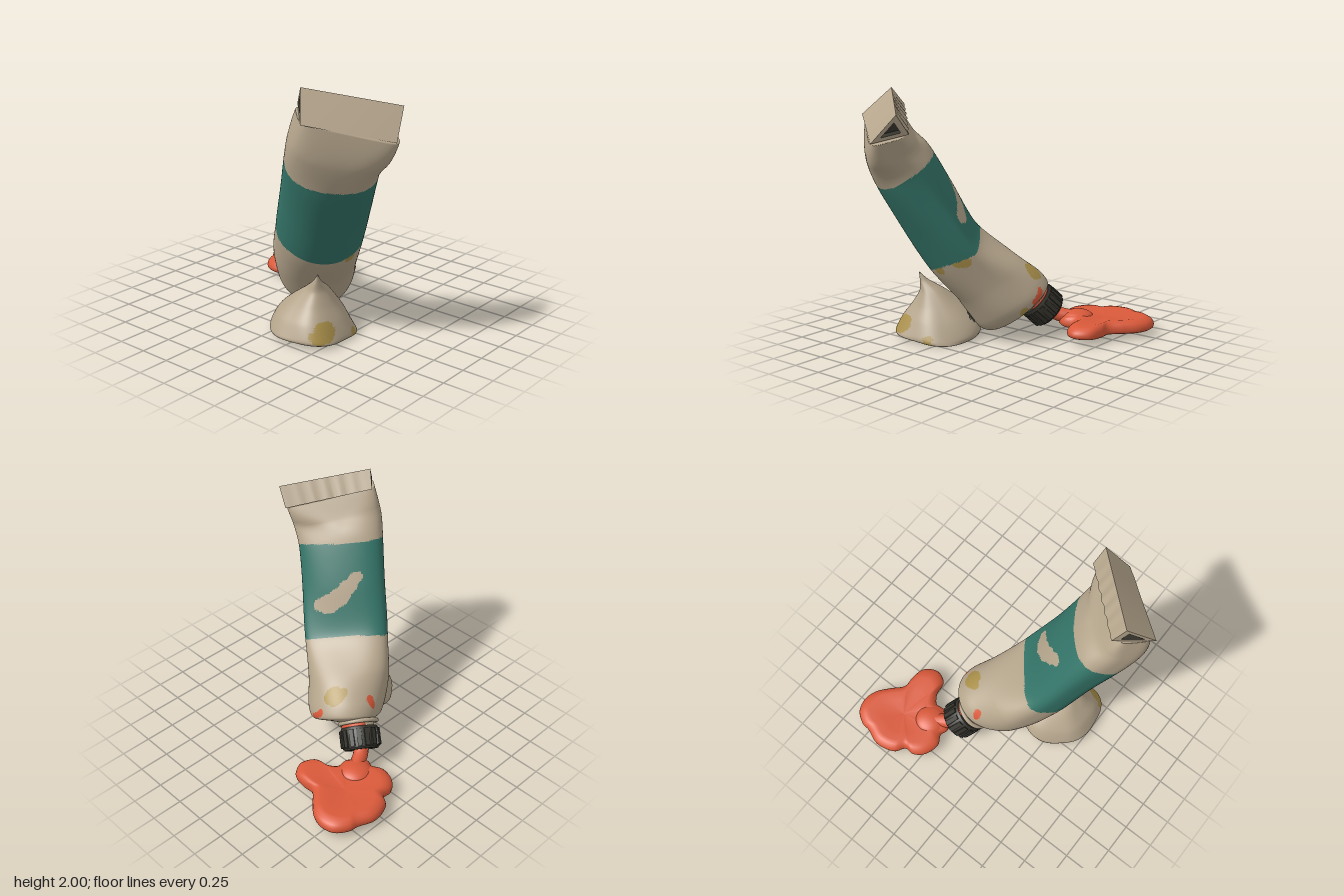
import * as THREE from 'three';
import { toCreasedNormals } from 'three/addons/utils/BufferGeometryUtils.js';

const V = (x, y, z) => new THREE.Vector3(x, y, z);
const step = THREE.MathUtils.smoothstep;
const mat = (name, color) => {
  const m = new THREE.MeshStandardMaterial({ color });
  m.name = name;
  return m;
};

// Closed cross-sections joined in order; paint(point, row) picks a material index per triangle
function loft(rings, paint = () => 0) {
  const n = rings[0].length, buckets = [], flat = rings.flat();
  const add = (i, a, b, c) => {
    const mid = V(0, 0, 0).add(flat[a]).add(flat[b]).add(flat[c]).divideScalar(3);
    (buckets[paint(mid, i)] ??= []).push(a, b, c);
  };
  for (let i = 0; i < rings.length - 1; i++) for (let j = 0; j < n; j++) {
    const k = (j + 1) % n, a = i * n + j, b = i * n + k, c = b + n, d = a + n;
    add(i, a, b, c);
    add(i, a, c, d);
  }
  const g = new THREE.BufferGeometry(), index = [];
  buckets.forEach((list, m) => {
    g.addGroup(index.length, list.length, m);
    for (const v of list) index.push(v);
  });
  g.setAttribute('position', new THREE.Float32BufferAttribute(flat.flatMap(p => [p.x, p.y, p.z]), 3));
  g.setIndex(index);
  g.computeVertexNormals();
  return g;
}

// True when (u, v) lies in one of the circles [u, v, radius]
const inSpots = (spots, u, v) => spots.some(([a, b, r]) => Math.hypot(u - a, v - b) < r);
const power = (v, e) => Math.sign(v) * Math.abs(v) ** e;

export function createModel() {
  const model = new THREE.Group();
  const beige = mat('agedMetal', 0xb5a58c), teal = mat('tealLabel', 0x347468);
  const yellow = mat('ochreStain', 0xa98f4a), red = mat('orangePaint', 0xd9593a);
  const dark = mat('blackCap', 0x34332c);
  const all = [beige, teal, yellow, red, dark];
  const add = (name, geo, m, parent = model) => {
    const mesh = new THREE.Mesh(geo, m);
    mesh.name = name;
    parent.add(mesh);
    return mesh;
  };

  // Tube frame: a runs up the tube, w across the flat end, d out of the upper side
  const a = V(-0.357, 0.794, 0.492).normalize();
  const w = V(0.76, -0.06, 0.64);
  w.addScaledVector(a, -w.dot(a)).normalize();
  const d = a.clone().cross(w);

  // Tube body: centre, half width, depth below and depth above (the upper side is squeezed flat)
  const stations = [
    [0.09, 0.30, -0.29, 0.11, 0.11, 0.11], [0.08, 0.295, -0.24, 0.19, 0.19, 0.19],
    [0.05, 0.26, -0.145, 0.28, 0.305, 0.315], [0.0, 0.325, -0.09, 0.315, 0.335, 0.33],
    [-0.11, 0.505, 0.0, 0.335, 0.325, 0.27], [-0.24, 0.755, 0.16, 0.34, 0.33, 0.19],
    [-0.38, 1.07, 0.335, 0.335, 0.31, 0.205], [-0.51, 1.39, 0.5, 0.345, 0.29, 0.215],
    [-0.565, 1.56, 0.6, 0.355, 0.235, 0.18], [-0.568, 1.75, 0.685, 0.36, 0.145, 0.115],
  ];
  const curve = pts => new THREE.CatmullRomCurve3(pts, false, 'catmullrom', 0.4);
  const centres = curve(stations.map(s => V(s[0], s[1], s[2])));
  const sizes = curve(stations.map(s => V(s[3], s[4], s[5])));
  const rows = 190, around = 150, axis = [], rings = [];
  for (let i = 0; i <= rows; i++) {
    const t = i / rows, c = centres.getPoint(t), size = sizes.getPoint(t);
    const flat = step(t, 0.78, 1), squeeze = step(t, 0.36, 0.56);
    const dent = 0.02 * step(t, 0.1, 0.4) * (1 - flat);
    const pinch = 0.035 * Math.exp(-(((t - 0.56) / 0.09) ** 2));
    axis.push(c);
    rings.push(Array.from({ length: around }, (_, j) => {
      const q = j / around * Math.PI * 2, cos = Math.cos(q), sin = Math.sin(q), top = sin > 0;
      const k = 1 + dent * Math.sin(4 * q + 9 * t) * Math.cos(14 * t);
      const u = power(cos, 1 - 0.65 * flat) * size.x * k;
      let v = power(sin, 1 - (top ? Math.max(0.4 * squeeze, 0.65 * flat) : 0.65 * flat)) * (top ? size.z : size.y) * k;
      if (top) v -= (0.08 * cos * squeeze * (1 - flat) + pinch * sin) * Math.sqrt(sin);
      v -= 0.14 * flat * u;
      return c.clone().addScaledVector(w, u).addScaledVector(d, v)
        .addScaledVector(a, -flat * (0.01 + 0.2 * u + 0.42 * v));
    }));
  }
  rings.push(rings[rows].map(() => axis[rows].clone()));
  axis.push(axis[rows]);

  const bare = [[0.18, 1.26, 0.045], [0.2, 1.19, 0.06], [0.23, 1.11, 0.075], [0.28, 1.05, 0.08], [0.345, 1.03, 0.05]];
  const ochre = [[-0.13, 0.55, 0.055], [-0.18, 0.55, 0.055], [0.04, 0.27, 0.035], [0.03, 0.2, 0.04], [0.05, 0.14, 0.035], [0.42, 0.69, 0.045]];
  const drips = [[-0.04, 0.34, 0.028], [-0.07, 0.37, 0.028], [-0.1, 0.4, 0.028], [-0.11, 0.42, 0.025]];
  const topDrip = [[0, -0.36, 0.032]], frontStain = [[-0.25, 0.6, 0.035], [-0.22, 0.6, 0.03]];
  add('tubeBody', loft(rings, (p, i) => {
    const off = p.clone().sub(axis[i]), od = off.dot(d);
    const upper = off.dot(w) + od > -0.08;
    const s = p.dot(a) + 0.14 * od + 0.012 * Math.sin(p.x * 11);
    if (s > 0.768 && s < 1.535) return upper && inSpots(bare, p.z, p.y) ? 0 : 1;
    if (upper && inSpots(drips, p.z, p.y)) return 3;
    if (od > 0 && inSpots(topDrip, p.x, p.z)) return 3;
    if (od < 0 && inSpots(frontStain, p.x, p.y)) return 2;
    return upper && inSpots(ochre, p.z, p.y) ? 2 : 0;
  }), all);

  // Folded end: hollow triangular roll, corners given at its two ends
  const ends = [
    [V(-0.94, 1.79, 0.57), V(-0.42, 1.63, 1.0)],
    [V(-0.7, 1.87, 0.34), V(-0.2, 1.7, 0.82)],
    [V(-0.76, 2.0, 0.42), V(-0.23, 1.85, 0.92)],
  ];
  const triangle = (t, scale) => {
    const pts = ends.map(([p, q]) => p.clone().lerp(q, t));
    const mid = V(0, 0, 0).add(pts[0]).add(pts[1]).add(pts[2]).divideScalar(3);
    pts[1].addScaledVector(d, 0.01 * Math.sin(t * 40) * Math.sin(t * Math.PI));
    return pts.map(p => mid.clone().lerp(p, scale));
  };
  const fold = [triangle(0.1, 0), triangle(0.1, 0.52), triangle(0, 0.52)];
  for (let i = 0; i <= 30; i++) fold.push(triangle(i / 30, 1));
  fold.push(triangle(1, 0.52), triangle(0.9, 0.52), triangle(0.9, 0));
  const inside = i => i < 2 || i > fold.length - 4;
  add('foldedEnd', toCreasedNormals(loft(fold, (p, i) => inside(i) ? 4 : 0), 0.6), all);

  // Neck and ribbed cap share one tilted group, opening towards local -y
  const spout = new THREE.Group();
  spout.name = 'spout';
  spout.position.set(0.14, 0.21, -0.385);
  spout.quaternion.setFromUnitVectors(V(0, 1, 0), V(-0.42, 0.68, 0.6).normalize());
  model.add(spout);
  add('neck', new THREE.CylinderGeometry(0.125, 0.125, 0.12, 40), beige, spout).position.y = 0.12;
  const lip = add('neckLip', new THREE.TorusGeometry(0.148, 0.018, 10, 48), beige, spout);
  lip.rotation.x = Math.PI / 2;
  lip.position.y = 0.13;
  const smear = add('neckPaint', new THREE.TorusGeometry(0.128, 0.016, 8, 30, 2.4), red, spout);
  smear.rotation.set(Math.PI / 2, 0, -1.2);
  smear.position.y = 0.1;
  const capProfile = [[0.095, -0.05], [0.095, -0.092], [0.135, -0.092], [0.15, -0.075], [0.158, 0.06], [0.145, 0.09], [0.11, 0.09]]
    .map(([x, y]) => new THREE.Vector2(x, y));
  add('cap', toCreasedNormals(new THREE.LatheGeometry(capProfile, 48), 0.6), dark, spout);
  for (let i = 0; i < 16; i++) {
    const q = i / 16 * Math.PI * 2;
    const rib = add('capRib', new THREE.BoxGeometry(0.02, 0.135, 0.038), dark, spout);
    rib.position.set(Math.cos(q) * 0.155, 0, Math.sin(q) * 0.155);
    rib.rotation.y = -q;
  }
  add('nozzlePaint', new THREE.CylinderGeometry(0.095, 0.095, 0.02, 32), red, spout).position.y = -0.06;

  // Paint running out of the cap and spreading into the puddle
  const stream = new THREE.CatmullRomCurve3([V(0.15, 0.2, -0.4), V(0.21, 0.145, -0.46), V(0.28, 0.12, -0.5), V(0.36, 0.11, -0.55)]);
  add('paintStream', new THREE.TubeGeometry(stream, 24, 0.06, 16), red);
  const spread = add('streamSpread', new THREE.SphereGeometry(0.13, 28, 16), red);
  spread.scale.y = 0.48;
  spread.position.set(0.37, 0.113, -0.56);

  // Puddle: lobed outline (x, z) rounded over from a flat base
  const outline = [
    [0.32, -0.41], [0.42, -0.41], [0.48, -0.33], [0.5, -0.22], [0.6, -0.17], [0.71, -0.23], [0.74, -0.35], [0.74, -0.45],
    [0.83, -0.55], [0.91, -0.65], [0.94, -0.76], [0.91, -0.87], [0.81, -0.94], [0.74, -0.95], [0.6, -1.0],
    [0.44, -0.96], [0.38, -0.88], [0.3, -0.88], [0.22, -0.82], [0.18, -0.69], [0.22, -0.6], [0.2, -0.53],
  ];
  const edge = new THREE.CatmullRomCurve3(outline.map(([x, z]) => V(x, 0, z)), true).getPoints(132).slice(0, -1);
  const puddle = [[0, 0.05], [0.94, 0.05], [0.985, 0.06], [1, 0.08], [0.985, 0.105], [0.94, 0.125], [0.86, 0.142], [0.75, 0.15], [0.5, 0.14], [0, 0.13]]
    .map(([s, y]) => edge.map(p => V(0.58 + (p.x - 0.58) * s, y, -0.66 + (p.z + 0.66) * s)));
  add('paintPuddle', loft(puddle), red);

  // Peaked dollop beside the tube: path of centres, then radii; blunt and lifted where the tube rests on it
  const dollop = curve([
    [-0.43, 0.02, 0.245], [-0.435, 0.05, 0.245], [-0.44, 0.16, 0.25], [-0.44, 0.27, 0.27],
    [-0.455, 0.38, 0.31], [-0.5, 0.46, 0.35], [-0.53, 0.54, 0.38]].map(p => V(...p)));
  const girth = curve([0.335, 0.33, 0.27, 0.185, 0.095, 0.035, 0].map(r => V(r, 0, 0)));
  const heap = [];
  for (let i = 0; i <= 48; i++) {
    const t = i / 48, c = dollop.getPoint(t), r = Math.max(0, girth.getPoint(t).x);
    heap.push(Array.from({ length: 72 }, (_, j) => {
      const q = j / 72 * Math.PI * 2, cos = Math.cos(q), sin = Math.sin(q);
      const under = Math.max(0, (cos + sin) * Math.SQRT1_2) ** 2;
      const blunt = 0.18 * under * step(t, 0.05, 0.3) * (1 - step(t, 0.35, 0.7));
      const k = r * (1 + 0.04 * Math.cos(3 * q + 1) + 0.03 * Math.sin(5 * q + 4 * t) + blunt);
      return V(c.x + cos * k, c.y + (0.06 * under - cos * k * 0.07) * (1 - t), c.z - sin * k);
    }));
  }
  heap.unshift(heap[0].map(() => V(-0.43, 0.025, 0.245)));
  const heapStain = [[-0.6, 0.12, 0.07], [-0.56, 0.13, 0.06], [-0.66, 0.09, 0.05], [-0.3, 0.04, 0.04]];
  const heapShade = [[0.18, 0.19, 0.035], [0.14, 0.17, 0.04], [0.1, 0.15, 0.04], [0.05, 0.14, 0.04]];
  add('dollop', loft(heap, (p, i) => {
    if (i > 0 && p.z > 0.25 && inSpots(heapStain, p.x, p.y)) return 2;
    return i > 0 && p.x > -0.42 && inSpots(heapShade, p.z, p.y) ? 4 : 0;
  }), all);

  return model;
}
